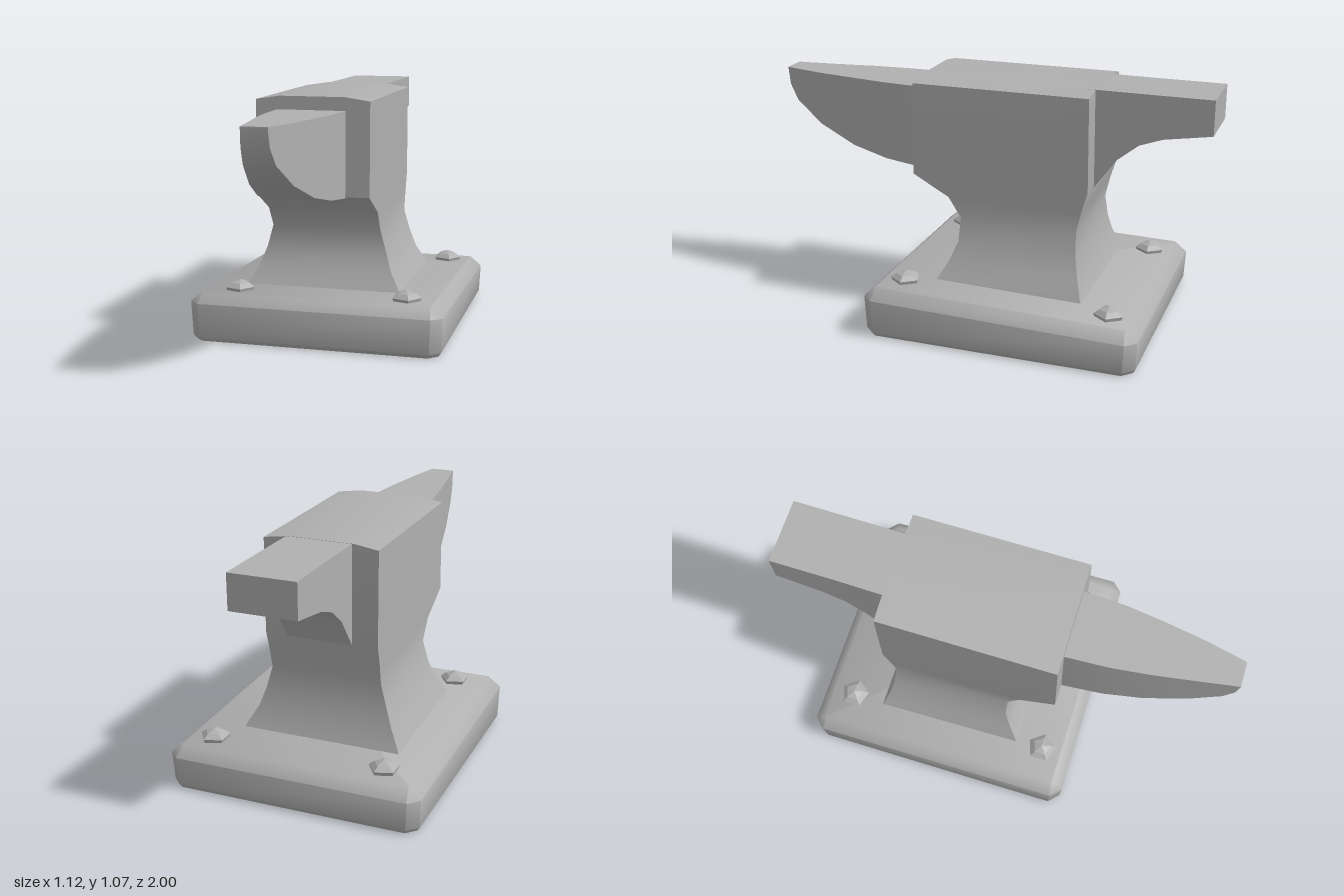
import * as THREE from 'three';
import { toCreasedNormals } from 'three/addons/utils/BufferGeometryUtils.js';

const steel = new THREE.MeshStandardMaterial({ color: 0xb0b0b0 });
steel.name = 'steel grey';

// Skin a list of equal-length rings, capped at both ends
function loft(rings, crease) {
  const n = rings[0].length, index = [];
  const last = (rings.length - 1) * n;
  for (let s = 0; s < rings.length - 1; s++) {
    for (let i = 0; i < n; i++) {
      const a = s * n + i, b = s * n + (i + 1) % n;
      index.push(a, b, b + n, a, b + n, a + n);
    }
  }
  for (let i = 1; i < n - 1; i++) {
    index.push(0, i + 1, i, last, last + i, last + i + 1);
  }
  const g = new THREE.BufferGeometry();
  g.setAttribute('position', new THREE.Float32BufferAttribute(rings.flat(2), 3));
  g.setIndex(index);
  return toCreasedNormals(g, THREE.MathUtils.degToRad(crease));
}

// Horizontal rectangle, and upright rectangle, as rings
const level = (y, x0, x1, z0, z1) => [[x1, y, z1], [x1, y, z0], [x0, y, z0], [x0, y, z1]];
const upright = (z, x0, x1, y0, y1) => [[x0, y0, z], [x1, y0, z], [x1, y1, z], [x0, y1, z]];

// The plinth top falls gently towards the back
const plinthTop = (z) => 0.206 + z * 0.022;

export function createModel() {
  const group = new THREE.Group();
  const add = (name, geometry) => {
    const mesh = new THREE.Mesh(geometry, steel);
    mesh.name = name;
    group.add(mesh);
    return mesh;
  };

  // Plinth: rectangles with cut corners, bevelled above and below
  const plinthRing = (inset, cut, height) => {
    const x = 0.56 - inset, z0 = -0.802 + inset, z1 = 0.408 - inset;
    return [
      [x - cut, z1], [x, z1 - cut], [x, z0 + cut], [x - cut, z0],
      [-x + cut, z0], [-x, z0 + cut], [-x, z1 - cut], [-x + cut, z1],
    ].map(([px, pz]) => [px, height(pz), pz]);
  };
  add('plinth', loft([
    plinthRing(0.018, 0.04, () => 0),
    plinthRing(0.006, 0.045, () => 0.018),
    plinthRing(0, 0.045, (z) => plinthTop(z) - 0.045),
    plinthRing(0.048, 0.01, plinthTop),
  ], 50));

  // Waist and body, flaring to the foot and up to the face, with a crowned top
  add('body', loft([
    level(0.18, -0.38, 0.34, -0.52, 0.16),
    level(0.215, -0.365, 0.325, -0.505, 0.14),
    level(0.29, -0.328, 0.28, -0.48, 0.1),
    level(0.37, -0.3, 0.252, -0.463, 0.07),
    level(0.47, -0.272, 0.224, -0.455, 0.068),
    level(0.56, -0.274, 0.225, -0.475, 0.125),
    level(0.65, -0.276, 0.226, -0.502, 0.288),
    level(1.058, -0.276, 0.226, -0.497, 0.284),
    level(1.074, -0.17, 0.115, -0.497, 0.284),
  ], 45));

  // Horn tapering to a blunt tip
  add('horn', loft([
    upright(0.25, -0.18, 0.12, 0.645, 1.016),
    upright(0.29, -0.18, 0.12, 0.645, 1.016),
    upright(0.47, -0.172, 0.11, 0.666, 1.018),
    upright(0.64, -0.153, 0.086, 0.704, 1.02),
    upright(0.82, -0.125, 0.055, 0.78, 1.021),
    upright(0.95, -0.104, 0.026, 0.875, 1.023),
    upright(0.99, -0.098, 0.016, 0.945, 1.024),
    upright(1.0, -0.096, 0.012, 1.015, 1.024),
  ], 45));

  // Heel, arched underneath
  add('heel', loft([
    upright(-0.995, -0.156, 0.132, 0.922, 1.073),
    upright(-0.79, -0.157, 0.13, 0.888, 1.073),
    upright(-0.69, -0.158, 0.129, 0.852, 1.073),
    upright(-0.6, -0.16, 0.128, 0.78, 1.073),
    upright(-0.505, -0.162, 0.126, 0.65, 1.073),
    upright(-0.46, -0.162, 0.126, 0.58, 1.073),
  ], 45));

  // Five-sided bolt heads on the plinth corners
  const profile = [[0.056, -0.02], [0.066, 0.014], [0.042, 0.032], [0, 0.046]]
    .map(([r, y]) => new THREE.Vector2(r, y));
  const boltHead = toCreasedNormals(new THREE.LatheGeometry(profile, 5, Math.PI / 2), 0.1);
  for (const [x, z] of [[-0.365, -0.655], [0.405, -0.655], [-0.365, 0.265], [0.385, 0.265]]) {
    add('boltHead', boltHead).position.set(x, plinthTop(z), z);
  }

  return group;
}
